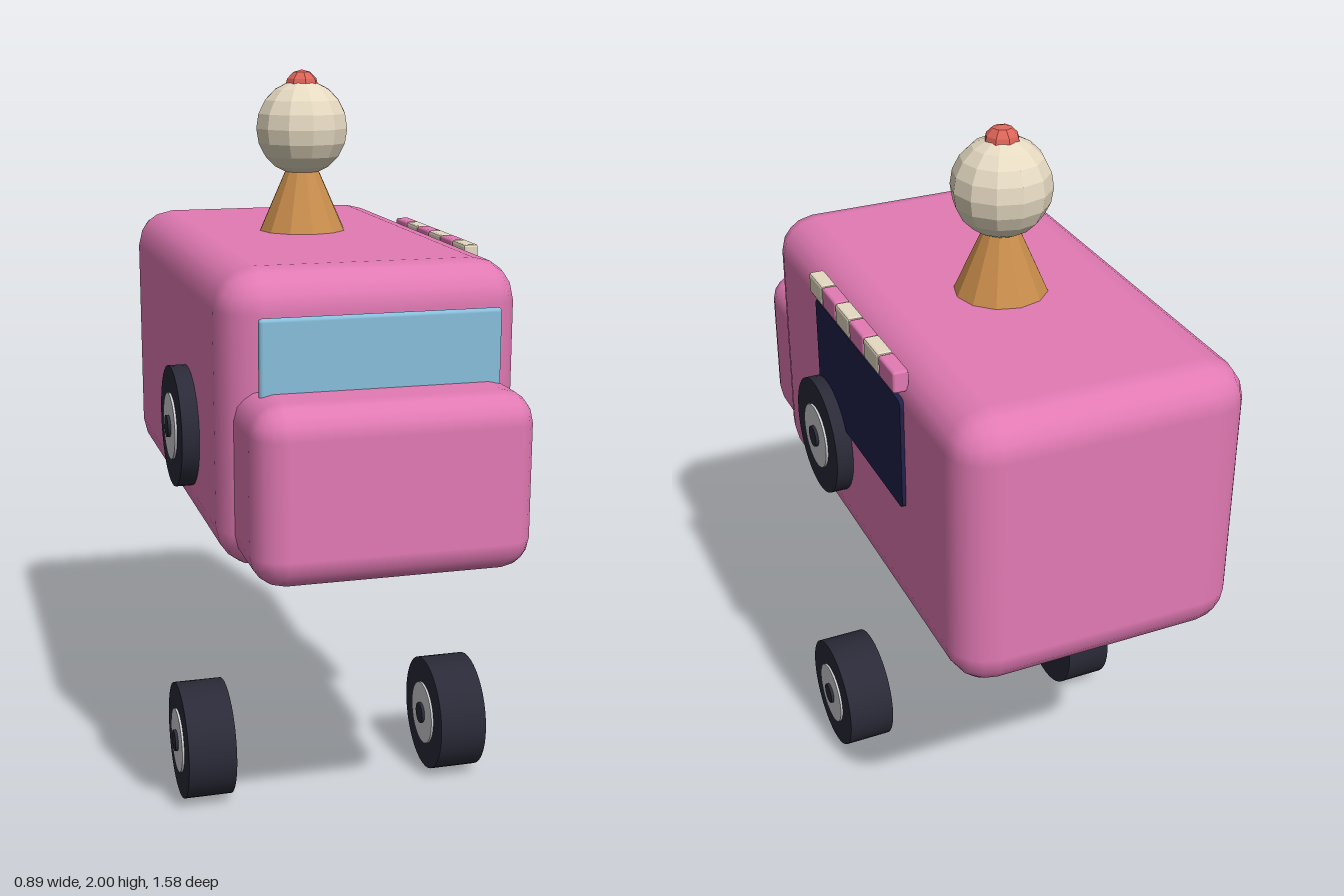
import * as THREE from 'three';
import { RoundedBoxGeometry } from 'three/addons/geometries/RoundedBoxGeometry.js';

const paint = (name, color, flatShading = false) => {
  const m = new THREE.MeshStandardMaterial({ color, flatShading });
  m.name = name;
  return m;
};

export function createModel() {
  const pink = paint('pink paint', 0xe27ab4);
  const cream = paint('cream', 0xe6dac2, true);
  const glass = paint('blue glass', 0x88bfdc);
  const navy = paint('navy window', 0x20204a);
  const rubber = paint('dark rubber', 0x2a2a38);
  const metal = paint('light metal', 0xcfcfd4);
  const wafer = paint('wafer', 0xc98d4c, true);
  const red = paint('cherry red', 0xdc6458, true);

  const truck = new THREE.Group();
  truck.name = 'iceCreamTruck';
  const add = (name, geometry, material, x, y, z, parent = truck) => {
    const mesh = new THREE.Mesh(geometry, material);
    mesh.name = name;
    mesh.position.set(x, y, z);
    parent.add(mesh);
    return mesh;
  };

  // Cabin and hood
  add('body', new RoundedBoxGeometry(0.77, 0.76, 1.365, 2, 0.105), pink, 0, 1.18, -0.107);
  add('hood', new RoundedBoxGeometry(0.704, 0.45, 0.45, 2, 0.08), pink, 0, 1.05, 0.565);
  add('windshield', new RoundedBoxGeometry(0.61, 0.31, 0.022, 2, 0.01), glass, 0, 1.302, 0.617);

  // Serving window with rounded corners
  const w = 0.305, h = 0.153, r = 0.018;
  const pane = new THREE.Shape();
  pane.moveTo(-w + r, -h);
  pane.lineTo(w - r, -h).quadraticCurveTo(w, -h, w, -h + r);
  pane.lineTo(w, h - r).quadraticCurveTo(w, h, w - r, h);
  pane.lineTo(-w + r, h).quadraticCurveTo(-w, h, -w, h - r);
  pane.lineTo(-w, -h + r).quadraticCurveTo(-w, -h, -w + r, -h);
  const paneGeometry = new THREE.ExtrudeGeometry(pane, { depth: 0.012, bevelEnabled: false, curveSegments: 3 });
  paneGeometry.rotateY(Math.PI / 2);
  add('servingWindow', paneGeometry, navy, 0.383, 1.313, -0.135);

  // Striped awning above the window
  const stripe = new RoundedBoxGeometry(0.042, 0.058, 0.1, 1, 0.007);
  for (let i = 0; i < 6; i++) {
    add('awningStripe', stripe, i % 2 ? pink : cream, 0.389, 1.517, 0.118 - i * 0.1015);
  }

  // Wheels: tyre, pale hub and dark axle cap running through it
  const disc = (radius, width, sides) => new THREE.CylinderGeometry(radius, radius, width, sides).rotateZ(Math.PI / 2);
  const tyre = disc(0.163, 0.134, 40);
  const hub = disc(0.09, 0.146, 32);
  const cap = disc(0.03, 0.162, 16);
  for (const side of [-1, 1]) {
    for (const y of [0.163, 1.08]) {
      const wheel = new THREE.Group();
      wheel.name = (y > 1 ? 'upper' : 'lower') + (side > 0 ? 'LeftWheel' : 'RightWheel');
      wheel.position.set(side * 0.364, y, 0.11);
      add('tyre', tyre, rubber, 0, 0, 0, wheel);
      add('hub', hub, metal, 0, 0, 0, wheel);
      add('axleCap', cap, rubber, 0, 0, 0, wheel);
      truck.add(wheel);
    }
  }

  // Ice cream on the roof
  const z = -0.155;
  add('cone', new THREE.ConeGeometry(0.126, 0.28, 12), wafer, 0, 1.69, z);
  add('scoop', new THREE.SphereGeometry(0.13, 12, 10), cream, 0, 1.842, z);
  add('cherry', new THREE.SphereGeometry(0.048, 8, 6), red, 0, 1.952, z);

  return truck;
}
